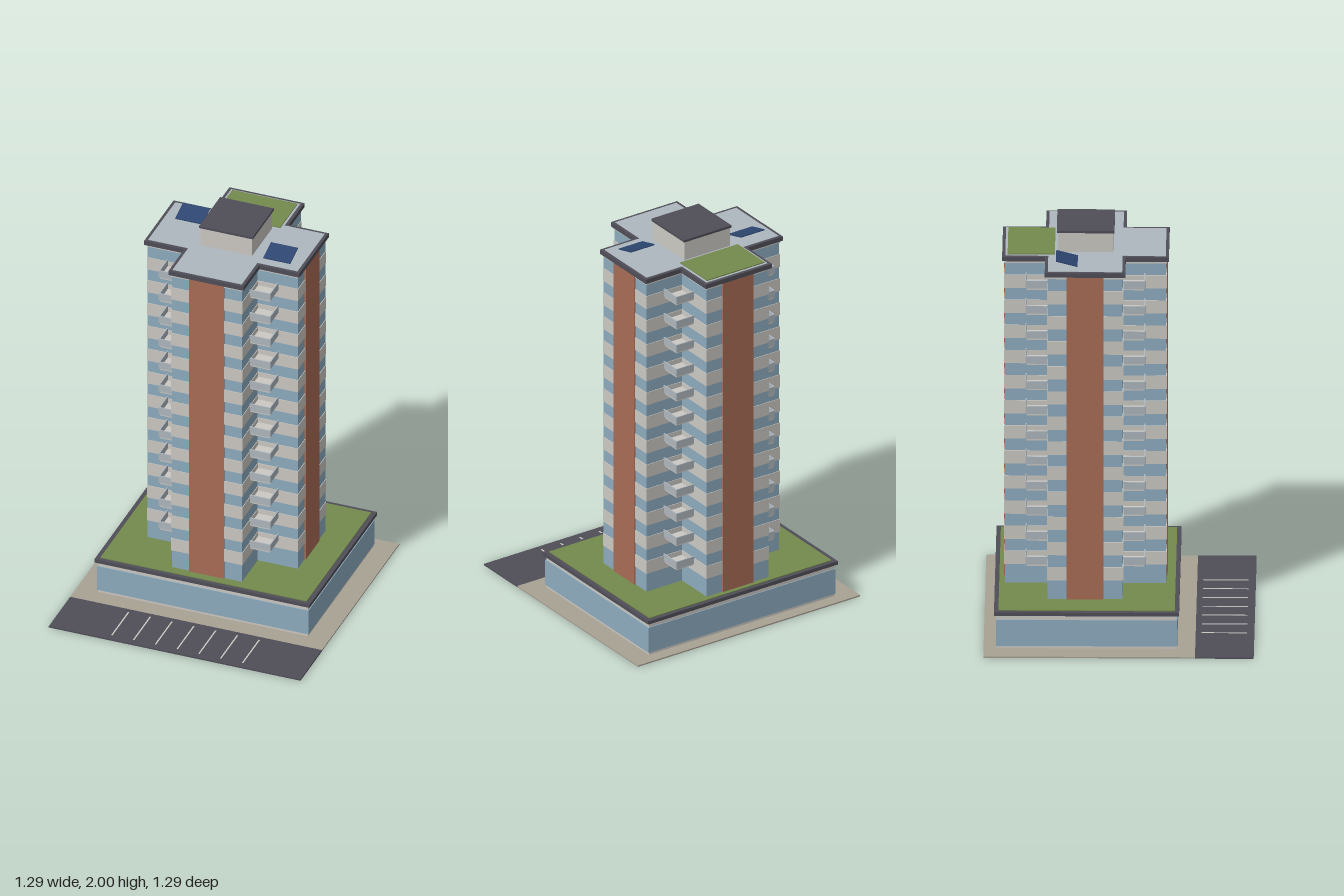
import * as THREE from 'three';

const mat = (name, color) => {
  const m = new THREE.MeshStandardMaterial({ color });
  m.name = name;
  return m;
};

export function createModel() {
  const concrete = mat('concrete', 0xccc9c3);
  const glass = mat('glass', 0x8dacbf);
  const brick = mat('brick', 0xa86c55);
  const dark = mat('darkTrim', 0x4f4e58);
  const grass = mat('grass', 0x748a4c);
  const roofGrey = mat('roofGrey', 0xaeb7be);
  const solar = mat('solarBlue', 0x2c4570);
  const paving = mat('paving', 0xa8a294);

  const root = new THREE.Group();
  root.name = 'apartmentTower';

  const add = (parent, name, geo, material) => {
    const mesh = new THREE.Mesh(geo, material);
    mesh.name = name;
    parent.add(mesh);
    return mesh;
  };
  // Box given by its extents on each axis
  const box = (parent, name, material, x0, x1, y0, y1, z0, z1) => {
    const geo = new THREE.BoxGeometry(x1 - x0, y1 - y0, z1 - z0);
    geo.translate((x0 + x1) / 2, (y0 + y1) / 2, (z0 + z1) / 2);
    return add(parent, name, geo, material);
  };
  // Plus-shaped prism: a = arm reach, b = arm half width
  const cross = (parent, name, material, a, b, y0, y1) => {
    const pts = [[b, a], [-b, a], [-b, b], [-a, b], [-a, -b], [-b, -b],
      [-b, -a], [b, -a], [b, -b], [a, -b], [a, b], [b, b]];
    const shape = new THREE.Shape(pts.map(([x, y]) => new THREE.Vector2(x, y)));
    const geo = new THREE.ExtrudeGeometry(shape, { depth: y1 - y0, bevelEnabled: false });
    geo.rotateX(-Math.PI / 2).translate(0, y0, 0);
    return add(parent, name, geo, material);
  };

  // Site: paving, parking strip and bay lines
  box(root, 'pavement', paving, -0.647, 0.647, 0, 0.007, -0.647, 0.366);
  box(root, 'parkingLot', dark, -0.647, 0.647, 0, 0.007, 0.366, 0.647);
  for (let i = -3; i <= 3; i++) {
    const x = i * 0.112;
    box(root, 'parkingLine', concrete, x - 0.0035, x + 0.0035, 0.007, 0.009, 0.394, 0.612);
  }

  // Podium with glazed band and planted roof
  const podium = new THREE.Group();
  podium.name = 'podium';
  podium.position.z = -0.154;
  root.add(podium);
  box(podium, 'podiumWall', concrete, -0.54, 0.54, 0.007, 0.18, -0.43, 0.43);
  box(podium, 'podiumGlazing', glass, -0.544, 0.544, 0.02, 0.154, -0.434, 0.434);
  box(podium, 'podiumParapet', dark, -0.553, 0.553, 0.178, 0.196, -0.443, 0.443);
  box(podium, 'podiumLawn', grass, -0.53, 0.53, 0.194, 0.2, -0.422, 0.422);

  // Tower body: glazed core with concrete bands at every floor
  const tower = new THREE.Group();
  tower.name = 'tower';
  tower.position.z = -0.163;
  root.add(tower);
  const base = 0.198, pitch = 0.1296, floors = 13, roofY = 1.864;
  cross(tower, 'towerGlazing', glass, 0.386, 0.18, base, roofY);
  for (let k = 1; k <= floors; k++) {
    const y = base + k * pitch;
    cross(tower, 'floorBand', concrete, 0.389, 0.183, y - 0.031, Math.min(y + 0.037, roofY));
  }

  // Brick strip on the end of each arm, and a stack of balconies in each corner
  for (let q = 0; q < 4; q++) {
    const side = new THREE.Group();
    side.name = 'towerSide';
    side.rotation.y = q * Math.PI / 2;
    tower.add(side);
    box(side, 'brickStrip', brick, -0.089, 0.089, base, roofY, 0.38, 0.392);
    for (let k = 1; k < floors; k++) {
      const y = base + k * pitch;
      box(side, 'balconySlab', concrete, 0.18, 0.282, y, y + 0.012, 0.18, 0.282);
      box(side, 'balconyRailFront', roofGrey, 0.18, 0.287, y + 0.009, y + 0.047, 0.281, 0.287);
      box(side, 'balconyRailSide', roofGrey, 0.281, 0.287, y + 0.009, y + 0.047, 0.18, 0.281);
    }
  }

  // Roof: dark edge, grey deck, garden and lift house
  cross(tower, 'roofEdge', dark, 0.399, 0.193, roofY, 1.887);
  cross(tower, 'roofDeck', roofGrey, 0.384, 0.178, 1.88, 1.889);
  box(tower, 'roofGarden', grass, -0.167, 0.167, 1.886, 1.894, -0.373, -0.147);
  box(tower, 'liftHouse', concrete, -0.132, 0.132, 1.885, 1.99, -0.132, 0.132);
  box(tower, 'liftHouseCap', dark, -0.138, 0.138, 1.988, 2, -0.138, 0.138);

  // Tilted solar panels, higher at the back
  for (const [x, z] of [[-0.26, -0.088], [0.26, 0.084]]) {
    const panel = add(tower, 'solarPanel', new THREE.BoxGeometry(0.138, 0.005, 0.106), solar);
    panel.position.set(x, 1.907, z);
    panel.rotation.x = 0.26;
  }

  return root;
}
